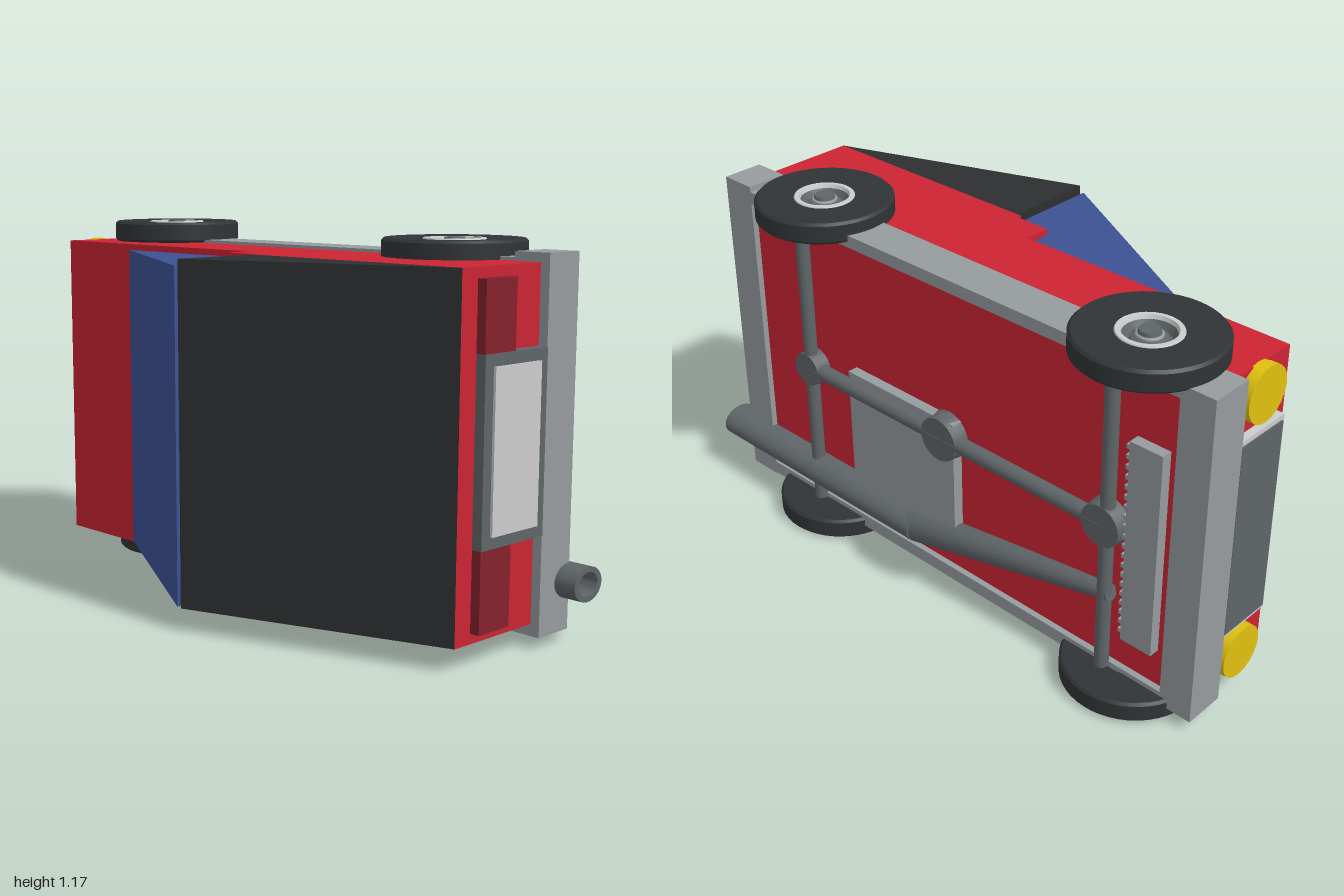
import * as THREE from 'three';
import { toCreasedNormals } from 'three/addons/utils/BufferGeometryUtils.js';

const RED = 0xcc2433, BLUE = 0x3c5294, BLACK = 0x2d2f31, RUBBER = 0x303436;
const GREY = 0x969b9e, DARK = 0x5f6568, MAROON = 0x85222b, YELLOW = 0xe0c010, PALE = 0xc4c8c8;

export function createModel() {
  const model = new THREE.Group();
  model.name = 'toyCar';

  function add(name, geometry, color, parent = model) {
    const mesh = new THREE.Mesh(geometry, new THREE.MeshStandardMaterial({ color }));
    mesh.name = name;
    parent.add(mesh);
    return mesh;
  }

  // Box given by its ranges on the three axes
  function box(name, [x0, x1], [y0, y1], [z0, z1], color) {
    const g = new THREE.BoxGeometry(x1 - x0, y1 - y0, z1 - z0);
    g.translate((x0 + x1) / 2, (y0 + y1) / 2, (z0 + z1) / 2);
    add(name, g, color);
  }

  // Outline in x and z, extruded over a range of y (the car lies on its side)
  function slab(name, points, y0, y1, color) {
    const shape = new THREE.Shape(points.map(([x, z]) => new THREE.Vector2(x, -z)));
    const g = new THREE.ExtrudeGeometry(shape, { depth: y1 - y0, bevelEnabled: false });
    g.rotateX(-Math.PI / 2).translate(0, y0, 0);
    add(name, g, color);
  }

  // Round bar between two points
  function rod(name, a, b, ra, rb, color) {
    const p = new THREE.Vector3(...a), q = new THREE.Vector3(...b);
    const dir = q.clone().sub(p);
    const mesh = add(name, new THREE.CylinderGeometry(rb, ra, dir.length(), 20), color);
    mesh.position.copy(p).add(q).multiplyScalar(0.5);
    mesh.quaternion.setFromUnitVectors(new THREE.Vector3(0, 1, 0), dir.normalize());
  }

  function lathe(points, segments = 40) {
    const g = new THREE.LatheGeometry(points.map(([r, y]) => new THREE.Vector2(r, y)), segments);
    return toCreasedNormals(g, 0.6);
  }

  // Body and cabin
  slab('body', [[-0.965, -0.3], [0.9, -0.3], [0.9, 0.15], [0.085, 0.15], [0.085, 0.135],
    [-0.035, 0.135], [-0.035, 0.05], [-0.965, 0.05]], 0.07, 1.1, RED);
  slab('windscreen', [[-0.63, 0.05], [0.085, 0.05], [0.085, 0.445]], 0.072, 1.08, BLUE);
  slab('rearCabin', [[0.1, 0.15], [0.9, 0.15], [0.1, 0.445]], 0.07, 1.1, BLACK);

  // Chassis frame
  box('frontBumper', [-1, -0.89], [0.04, 1.11], [-0.32, -0.185], GREY);
  box('rearBumper', [0.81, 0.93], [0.035, 1.127], [-0.32, -0.185], GREY);
  box('rightSill', [-0.95, 0.85], [0.04, 0.085], [-0.32, -0.185], GREY);
  box('leftSill', [-0.95, 0.85], [1.07, 1.11], [-0.32, -0.185], GREY);

  // Front end
  box('grilleFrame', [-0.99, -0.96], [0.25, 0.91], [-0.185, 0.02], PALE);
  box('grille', [-0.995, -0.96], [0.265, 0.895], [-0.175, 0.01], DARK);
  for (const y of [0.15, 1.02]) {
    rod('headlight', [-0.96, y, -0.085], [-0.998, y, -0.085], 0.085, 0.085, YELLOW);
  }

  // Rear end
  box('rightTailLight', [0.89, 0.93], [0.1, 0.335], [-0.045, 0.085], MAROON);
  box('leftTailLight', [0.89, 0.93], [0.87, 1.07], [-0.045, 0.085], MAROON);
  box('plateHolder', [0.89, 0.932], [0.335, 0.87], [-0.185, 0.085], DARK);
  box('plate', [0.92, 0.94], [0.37, 0.835], [-0.15, 0.05], PALE);

  // Wheels, outer side along local +y
  const tyre = lathe([[0.09, -0.034], [0.207, -0.034], [0.215, -0.026], [0.215, 0.026],
    [0.207, 0.034], [0.09, 0.03], [0.09, -0.034]], 48);
  const rim = lathe([[0.095, 0.028], [0.092, 0.034], [0.078, 0.034], [0.074, 0.022]]);
  const dish = lathe([[0.076, 0.026], [0.062, 0], [0, 0]]);
  const hub = lathe([[0.056, -0.01], [0.052, 0.012], [0.034, 0.02], [0.03, 0.036], [0, 0.036]], 24);
  const hubRing = new THREE.TorusGeometry(0.034, 0.006, 8, 24).rotateX(Math.PI / 2).translate(0, 0.02, 0);
  const back = lathe([[0, -0.03], [0.095, -0.03]]);
  function wheel(name, x, y, tilt) {
    const w = new THREE.Group();
    w.name = name;
    add('tyre', tyre, RUBBER, w);
    add('rim', rim, PALE, w);
    add('dish', dish, DARK, w);
    add('hub', hub, DARK, w);
    add('hubRing', hubRing, GREY, w);
    add('wheelBack', back, DARK, w);
    w.position.set(x, y, -0.235);
    w.rotation.x = tilt;
    model.add(w);
  }
  wheel('frontLeftWheel', -0.72, 1.135, 0);
  wheel('rearLeftWheel', 0.55, 1.12, 0);
  wheel('frontRightWheel', -0.72, 0.036, Math.PI);
  wheel('rearRightWheel', 0.55, 0.036, Math.PI);

  // Drive train under the floor
  for (const x of [-0.68, 0.56]) {
    rod('axle', [x, 0.06, -0.327], [x, 1.1, -0.327], 0.022, 0.022, DARK);
  }
  rod('driveShaft', [-0.68, 0.575, -0.325], [0.56, 0.575, -0.325], 0.026, 0.026, DARK);
  for (const [x, r] of [[-0.67, 0.075], [-0.04, 0.08], [0.56, 0.062]]) {
    rod('gearHousing', [x, 0.575, -0.29], [x, 0.575, -0.35], r, r * 0.9, DARK);
  }
  box('underPlate', [-0.09, 0.37], [0.205, 0.64], [-0.335, -0.29], GREY);
  box('radiatorPlate', [-0.86, -0.75], [0.21, 0.885], [-0.335, -0.29], GREY);
  for (let i = 0; i < 20; i++) {
    const y = 0.23 + i * 0.033;
    box('radiatorFin', [-0.75, -0.738], [y, y + 0.014], [-0.333, -0.29], GREY);
  }

  // Exhaust: tapered front pipe and hollow oval tail pipe
  rod('exhaustFrontPipe', [-0.7, 0.34, -0.32], [0.1, 0.18, -0.32], 0.025, 0.058, DARK);
  const pipe = lathe([[0, 0], [0.065, 0.01], [0.065, 0.93], [0.045, 0.93], [0.045, 0.7], [0, 0.7]], 28);
  pipe.rotateZ(-Math.PI / 2).scale(1, 0.8, 1).translate(0.07, 0.182, -0.317);
  add('exhaustTailPipe', pipe, DARK);

  return model;
}
